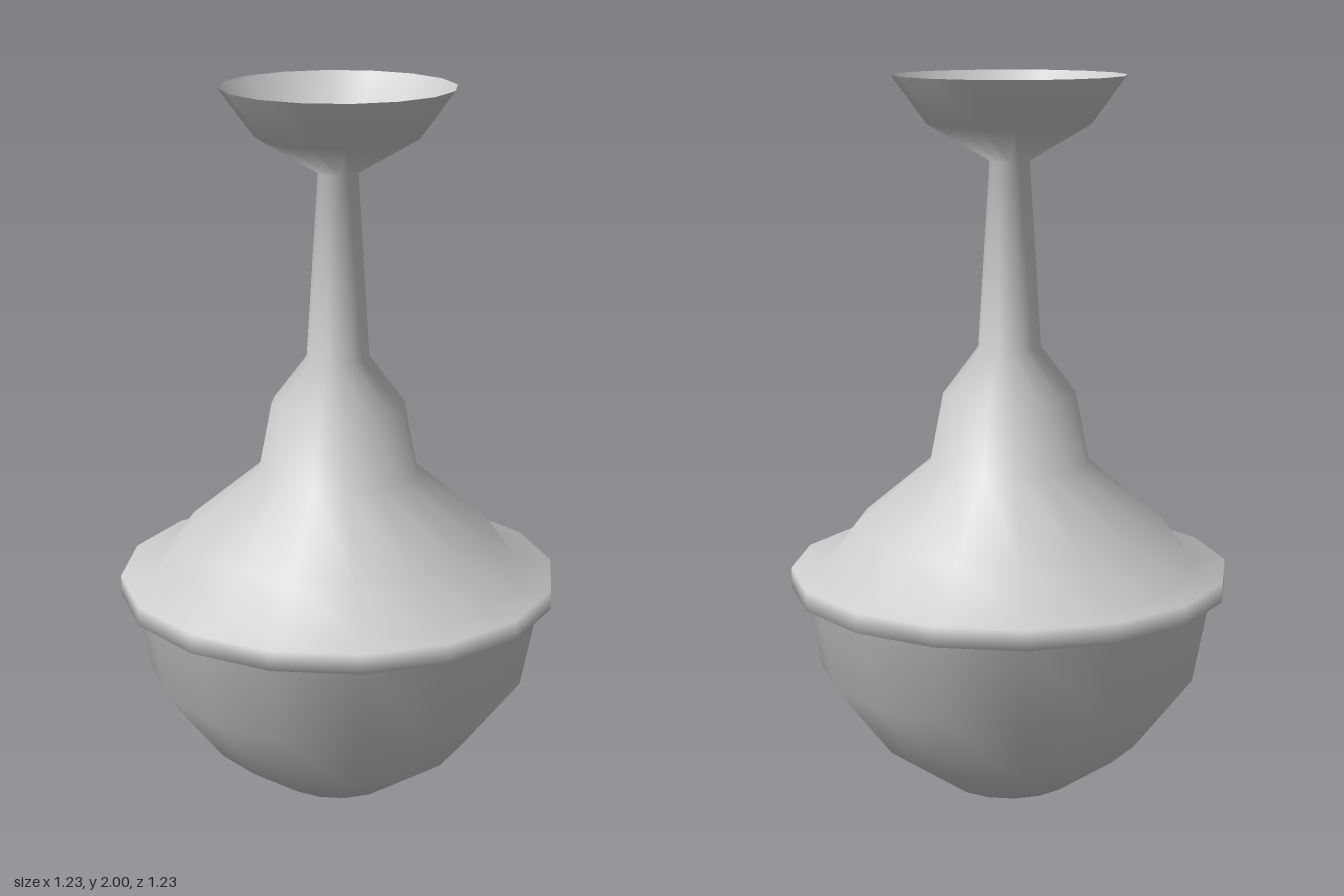
import * as THREE from 'three';

// Outline [radius, height] from the base up to the open mouth
const PROFILE = [
  // round bowl
  [0, 0], [0.183, 0], [0.37, 0.13], [0.535, 0.345], [0.58, 0.58],
  // projecting rim band
  [0.615, 0.58], [0.615, 0.635],
  // domed shoulder and stepped collar
  [0.525, 0.635], [0.433, 0.76], [0.222, 0.937], [0.185, 1.13],
  // tapering neck
  [0.087, 1.26], [0.055, 1.77],
  // flared mouth, open at the top
  [0.225, 1.87], [0.32, 2.0],
];

export function createModel() {
  const group = new THREE.Group();
  group.name = 'flaredVase';

  // One continuous 16-sided shell with smooth normals
  const points = PROFILE.map(([r, y]) => new THREE.Vector2(r, y));
  const shell = new THREE.Mesh(
    new THREE.LatheGeometry(points, 16),
    new THREE.MeshStandardMaterial({ color: 0xcccccc, side: THREE.DoubleSide })
  );
  shell.name = 'vaseShell';
  group.add(shell);

  return group;
}
